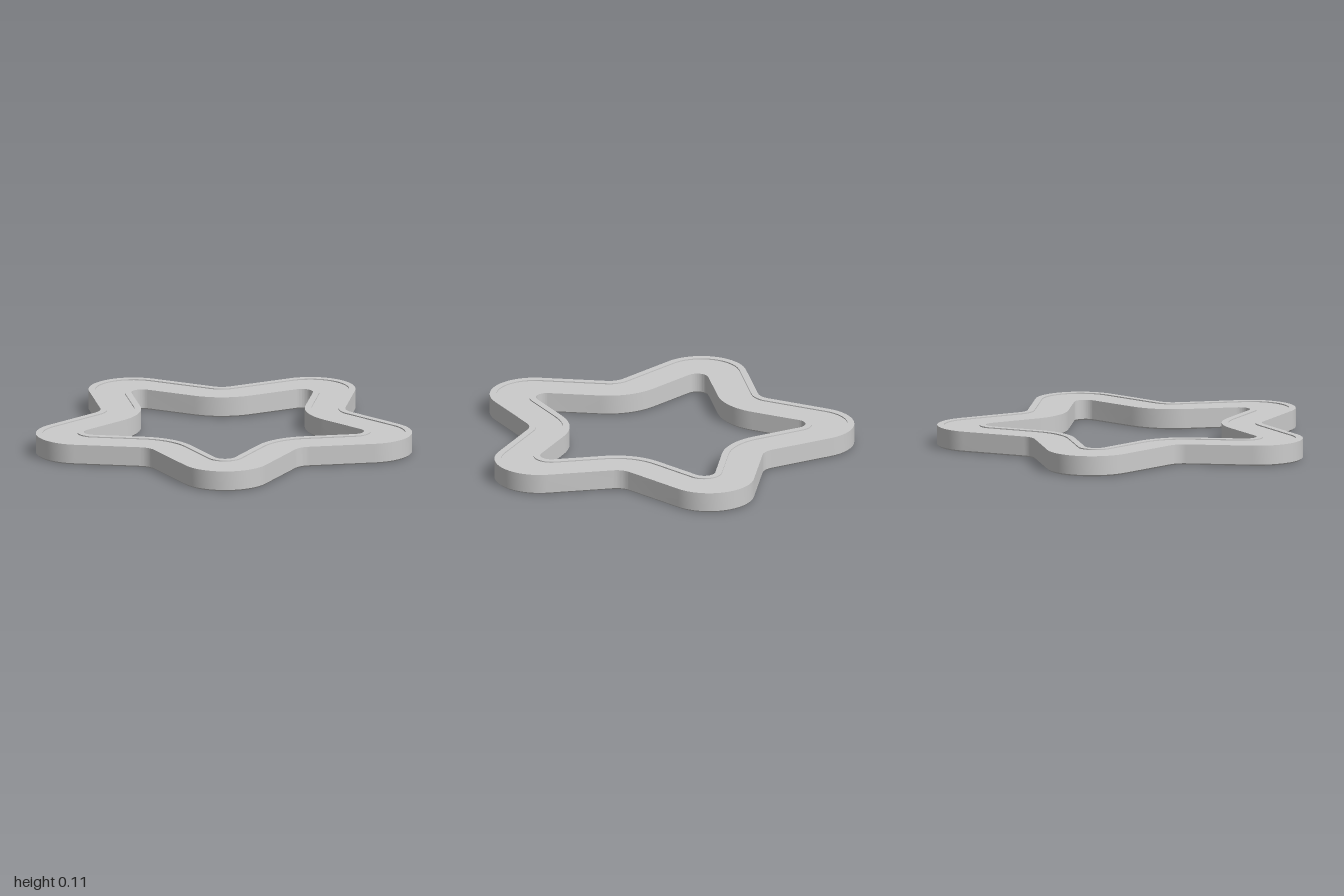
import * as THREE from 'three';
import { toCreasedNormals } from 'three/addons/utils/BufferGeometryUtils.js';

const DEG = Math.PI / 180;
const CENTRE = [-0.0065, -0.07]; // star centre in plan (x, -z)
const TURN = 88.5 * DEG;         // direction of the back point
const SLOPE = 27 * DEG;          // half angle of each point
const HEIGHT = 0.11;
const RIM = 0.035;

// tip: distance of the tip arc centre, tipR: tip radius, notchR: notch radius
const OUTER = { tip: 0.80, tipR: 0.24, notchR: 0.10 };
const INNER = { tip: 0.72, tipR: 0.06, notchR: 0.33 };

// Rounded five-pointed outline, counter-clockwise, grown outward by d
function outline({ tip, tipR, notchR }, d = 0) {
  const R = tipR + d, r = notchR - d;
  const corner = SLOPE + 36 * DEG;
  const notch = (tip * Math.sin(SLOPE) + R) / Math.sin(corner) + r / Math.sin(corner);
  const points = [];
  const arc = (dir, dist, radius, from, to, steps) => {
    for (let i = 0; i <= steps; i++) {
      const a = from + (to - from) * i / steps;
      points.push(new THREE.Vector2(
        CENTRE[0] + dist * Math.cos(dir) + radius * Math.cos(a),
        CENTRE[1] + dist * Math.sin(dir) + radius * Math.sin(a)));
    }
  };
  const tipSpan = Math.PI / 2 - SLOPE, notchSpan = Math.PI / 2 - corner;
  for (let k = 0; k < 5; k++) {
    const t = TURN + k * 72 * DEG, v = t + 36 * DEG;
    arc(t, tip, R, t - tipSpan, t + tipSpan, 24);
    arc(v, notch, r, v + Math.PI + notchSpan, v + Math.PI - notchSpan, 12);
  }
  return points;
}

// Sweeps a closed counter-clockwise section of [offset, height] round an outline
function sweep(star, section) {
  const rings = section.map(([d]) => outline(star, d));
  const n = rings[0].length, m = section.length;
  const positions = [], index = [];
  for (let j = 0; j < m; j++) {
    for (let i = 0; i < n; i++) {
      positions.push(rings[j][i].x, section[j][1], -rings[j][i].y);
      const a = j * n + i, b = j * n + (i + 1) % n;
      const c = ((j + 1) % m) * n + i, e = ((j + 1) % m) * n + (i + 1) % n;
      index.push(a, b, c, b, e, c);
    }
  }
  const geometry = new THREE.BufferGeometry();
  geometry.setAttribute('position', new THREE.Float32BufferAttribute(positions, 3));
  geometry.setIndex(index);
  return toCreasedNormals(geometry, 0.5);
}

export function createModel() {
  const group = new THREE.Group();
  group.name = 'starFrame';
  const material = new THREE.MeshStandardMaterial({ color: 0xcccccc });
  const add = (name, geometry) => {
    const mesh = new THREE.Mesh(geometry, material);
    mesh.name = name;
    group.add(mesh);
  };

  // Upright walls with slightly eased bottom edges
  const e = 0.008;
  const section = [[-e, 0], [0, e], [0, HEIGHT], [-RIM, HEIGHT], [-RIM, e], [-RIM + e, 0]];
  add('outerWall', sweep(OUTER, section));
  add('innerWall', sweep(INNER, section.map(([d, y]) => [-d, y]).reverse()));

  // Thin top plate between the walls, set just below their rims; open underneath
  const shape = new THREE.Shape(outline(OUTER, -RIM + 0.005));
  shape.holes.push(new THREE.Path(outline(INNER, RIM - 0.005)));
  const plate = new THREE.ExtrudeGeometry(shape, { depth: 0.02, bevelEnabled: false });
  plate.rotateX(-Math.PI / 2).translate(0, HEIGHT - 0.026, 0);
  add('topPlate', plate);

  return group;
}
